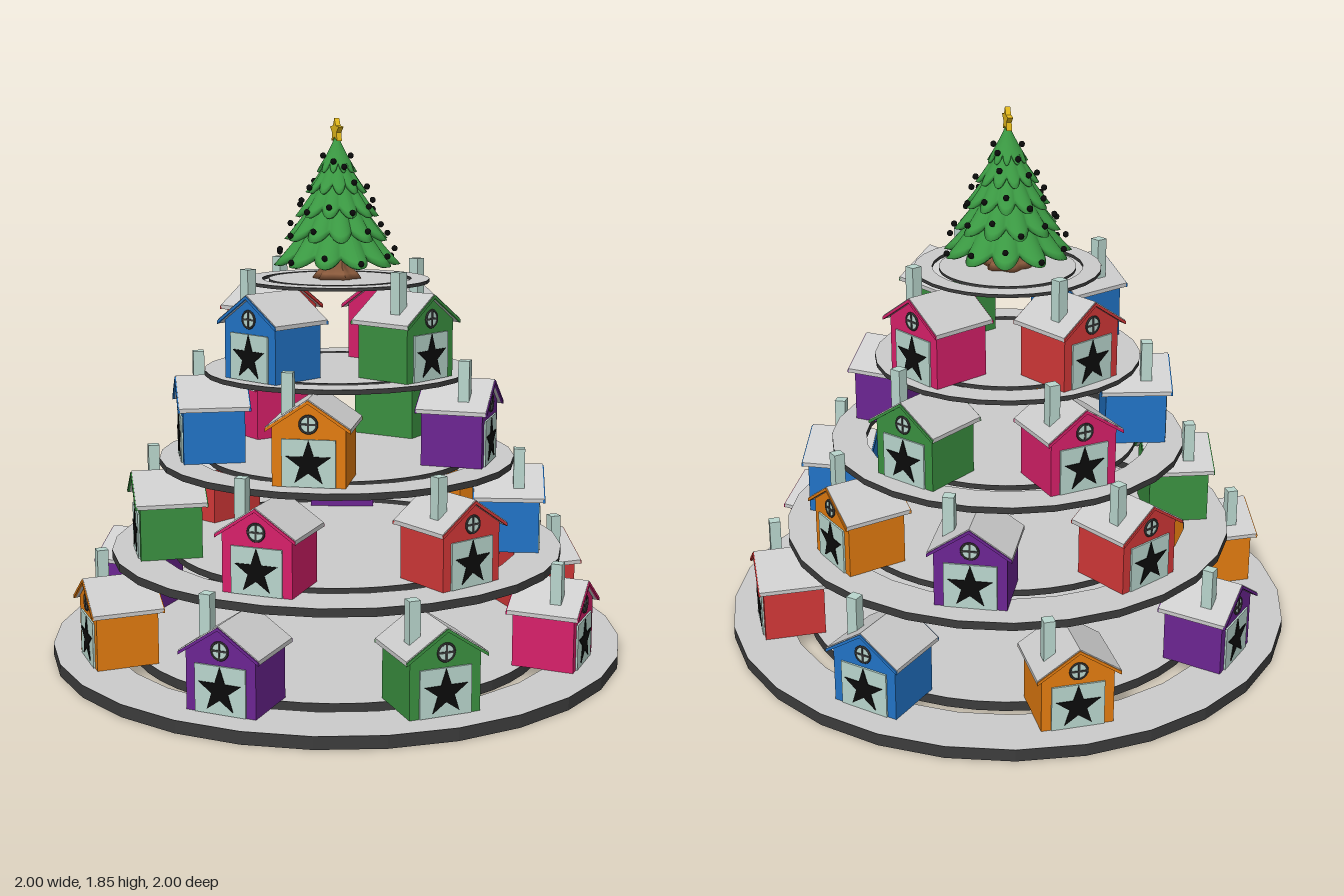
import * as THREE from 'three';

const mat = (color, opt = {}) => new THREE.MeshStandardMaterial({ color, ...opt });
const GREY = mat(0xcccccc, { flatShading: true });
const DARK = mat(0x3c3c3c, { flatShading: true });
const BLACK = mat(0x0b0b0b);
const PALE = mat(0xb9d6cd);
const WALL = {
  green: mat(0x3a9040), pink: mat(0xd8206a), red: mat(0xd23838),
  blue: mat(0x2173c6), orange: mat(0xe37c10), purple: mat(0x6c2592),
};

function add(parent, name, geometry, material, x = 0, y = 0, z = 0) {
  const m = new THREE.Mesh(geometry, material);
  m.name = name;
  m.position.set(x, y, z);
  parent.add(m);
  return m;
}

const polygon = (pts) => new THREE.Shape(pts.map(([x, y]) => new THREE.Vector2(x, y)));

// Extrusion centred on z
function extrude(shape, depth) {
  return new THREE.ExtrudeGeometry(shape, { depth, bevelEnabled: false }).translate(0, 0, -depth / 2);
}

function starShape(r, inner) {
  const pts = [];
  for (let i = 0; i < 10; i++) {
    const a = (i * Math.PI) / 5, q = i % 2 ? inner : r;
    pts.push([Math.sin(a) * q, Math.cos(a) * q]);
  }
  return polygon(pts);
}

// Shared house geometry: base at y = 0, front towards +z
const W = 0.12, WALL_H = 0.193, APEX = 0.274, DEPTH = 0.21;
const chevron = (t) => polygon([
  [-0.138, 0.181], [0, APEX], [0.138, 0.181], [0.138, 0.181 + t], [0, APEX + t], [-0.138, 0.181 + t],
]);
const GEO = {
  body: extrude(polygon([[-W, 0], [W, 0], [W, WALL_H], [0, APEX], [-W, WALL_H]]), DEPTH),
  roof: extrude(chevron(0.014), 0.24),
  trim: extrude(chevron(0.011), 0.008),
  door: new THREE.BoxGeometry(0.175, 0.155, 0.008),
  star: extrude(starShape(0.077, 0.03), 0.006),
  pane: new THREE.CylinderGeometry(0.028, 0.028, 0.008, 20).rotateX(Math.PI / 2),
  frame: new THREE.TorusGeometry(0.028, 0.004, 6, 20),
  bar: new THREE.BoxGeometry(0.056, 0.006, 0.006),
  chimney: new THREE.BoxGeometry(0.038, 0.15, 0.038),
};

function house(color) {
  const g = new THREE.Group();
  g.name = 'house';
  const wall = WALL[color], front = DEPTH / 2;
  add(g, 'walls', GEO.body, wall);
  add(g, 'roof', GEO.roof, GREY);
  for (const s of [-1, 1]) add(g, 'gableTrim', GEO.trim, wall, 0, -0.001, s * 0.12);
  add(g, 'door', GEO.door, PALE, 0, 0.0785, front + 0.002);
  add(g, 'doorStar', GEO.star, BLACK, 0, 0.077, front + 0.006);
  add(g, 'windowPane', GEO.pane, PALE, 0, 0.205, front + 0.002);
  add(g, 'windowFrame', GEO.frame, DARK, 0, 0.205, front + 0.005);
  for (const a of [0, Math.PI / 2]) {
    add(g, 'windowBar', GEO.bar, DARK, 0, 0.205, front + 0.006).rotation.z = a;
  }
  add(g, 'chimney', GEO.chimney, PALE, -0.08, 0.285, 0.035);
  return g;
}

// Turntable: outer ring, open slot and inner disc, pale on top
function platform(r, y, h) {
  const g = new THREE.Group();
  g.name = 'platform';
  g.position.y = y;
  const N = 28, inner = 0.805 * r, disc = 0.73 * r;
  const circle = (q) => Array.from({ length: N }, (_, i) => {
    const a = (i / N) * Math.PI * 2;
    return [q * Math.cos(a), q * Math.sin(a)];
  });
  const ring = polygon(circle(r));
  ring.holes.push(polygon(circle(inner)));
  const slab = new THREE.ExtrudeGeometry(ring, { depth: h, bevelEnabled: false }).rotateX(-Math.PI / 2);
  add(g, 'ring', slab, DARK);
  add(g, 'ringTop', new THREE.ShapeGeometry(ring).rotateX(-Math.PI / 2), GREY, 0, h + 0.001);
  add(g, 'disc', new THREE.CylinderGeometry(disc, disc, h * 0.8, 48), DARK, 0, h * 0.6);
  add(g, 'discTop', new THREE.CircleGeometry(disc, 48).rotateX(-Math.PI / 2), GREY, 0, h + 0.001);
  add(g, 'hub', new THREE.CylinderGeometry(0.04 * r, 0.04 * r, h * 0.9, 16), DARK, 0, h * 0.45);
  return g;
}

// One drooping skirt of branches with scalloped lobes
const LOBES = 11;
function skirt(y0, r0, y1, r1, phase) {
  const pts = [[0.003, y1], [r1, y1 - 0.005]];
  for (let i = 1; i <= 8; i++) {
    const t = i / 8;
    pts.push([r1 + (r0 - r1) * Math.pow(t, 1.15), y1 + (y0 - y1) * t]);
  }
  pts.push([r0 * 0.9, y0 - 0.004], [r0 * 0.5, y0 + 0.03], [0.003, y0 + 0.04]);
  const geo = new THREE.LatheGeometry(pts.map(([x, y]) => new THREE.Vector2(x, y)).reverse(), LOBES * 10);
  const p = geo.attributes.position;
  for (let i = 0; i < p.count; i++) {
    const x = p.getX(i), z = p.getZ(i), y = p.getY(i);
    const t = THREE.MathUtils.clamp((y1 - y) / (y1 - y0), 0, 1);
    const lobe = Math.abs(Math.cos((LOBES * Math.atan2(x, z) + phase) / 2));
    const k = 1 + t * (lobe * 0.27 - 0.22);
    p.setXYZ(i, x * k, y + t * t * (1 - lobe) * 0.03, z * k);
  }
  geo.computeVertexNormals();
  return geo;
}

function tree() {
  const g = new THREE.Group();
  g.name = 'tree';
  const leaf = mat(0x3b9a43, { side: THREE.DoubleSide });
  // Trunk with flared roots
  const trunk = new THREE.LatheGeometry(
    [[0, 1.306], [0.078, 1.306], [0.066, 1.325], [0.045, 1.345], [0.042, 1.42]].map(([x, y]) => new THREE.Vector2(x, y)), 40);
  const p = trunk.attributes.position;
  for (let i = 0; i < p.count; i++) {
    const k = 1 + 0.1 * Math.cos(6 * Math.atan2(p.getX(i), p.getZ(i)));
    p.setX(i, p.getX(i) * k);
    p.setZ(i, p.getZ(i) * k);
  }
  trunk.computeVertexNormals();
  add(g, 'trunk', trunk, mat(0x8a5a3c, { side: THREE.DoubleSide }));
  // Foliage: bottom y, bottom radius, top y, top radius
  const layers = [
    [1.355, 0.21, 1.52, 0.09], [1.44, 0.172, 1.6, 0.065], [1.52, 0.138, 1.67, 0.045],
    [1.6, 0.102, 1.73, 0.025], [1.67, 0.066, 1.79, 0.006],
  ];
  const ball = new THREE.SphereGeometry(0.0105, 10, 8);
  layers.forEach(([y0, r0, y1, r1], i) => {
    const phase = (i % 2) * Math.PI;
    add(g, 'branches', skirt(y0, r0, y1, r1, phase), leaf);
    // Baubles on alternate lobe tips
    for (let k = i % 2; k < LOBES; k += i < 3 ? 1 : 2) {
      const a = (2 * Math.PI * k - phase) / LOBES;
      const lift = (k % 3) * 0.018;
      const r = r0 * 1.05 - lift * 0.6;
      add(g, 'bauble', ball, BLACK, Math.sin(a) * r, y0 + 0.018 + lift, Math.cos(a) * r);
    }
  });
  // Star facing sideways
  const star = extrude(starShape(0.042, 0.021), 0.018).rotateY(Math.PI / 2);
  add(g, 'treeStar', star, mat(0xe8bc1c), 0, 1.808, 0);
  return g;
}

// Each tier: radius, base height, thickness, house centre radius, houses as [degrees, colour]
const TIERS = [
  [1.0, 0, 0.042, 0.795, [[0, 'green'], [45, 'pink'], [90, 'red'], [135, 'blue'],
    [180, 'orange'], [225, 'purple'], [270, 'orange'], [315, 'purple']]],
  [0.79, 0.342, 0.028, 0.6, [[16, 'red'], [64.5, 'blue'], [109, 'orange'], [156, 'purple'],
    [207, 'red'], [261, 'green'], [317.5, 'pink']]],
  [0.62, 0.668, 0.022, 0.44, [[51, 'purple'], [127.5, 'green'], [192.6, 'pink'],
    [257.8, 'blue'], [328.9, 'orange']]],
  [0.46, 0.977, 0.016, 0.31, [[26.4, 'green'], [117.6, 'pink'], [207, 'red'], [294.8, 'blue']]],
  [0.32, 1.294, 0.011, 0, []],
];

export function createModel() {
  const model = new THREE.Group();
  model.name = 'tieredVillage';
  for (const [r, y, h, centre, houses] of TIERS) {
    model.add(platform(r, y, h));
    for (const [deg, color] of houses) {
      const a = THREE.MathUtils.degToRad(deg);
      const one = house(color);
      one.position.set(Math.sin(a) * centre, y + h + 0.002, Math.cos(a) * centre);
      one.rotation.y = a;
      model.add(one);
    }
  }
  model.add(tree());
  return model;
}
